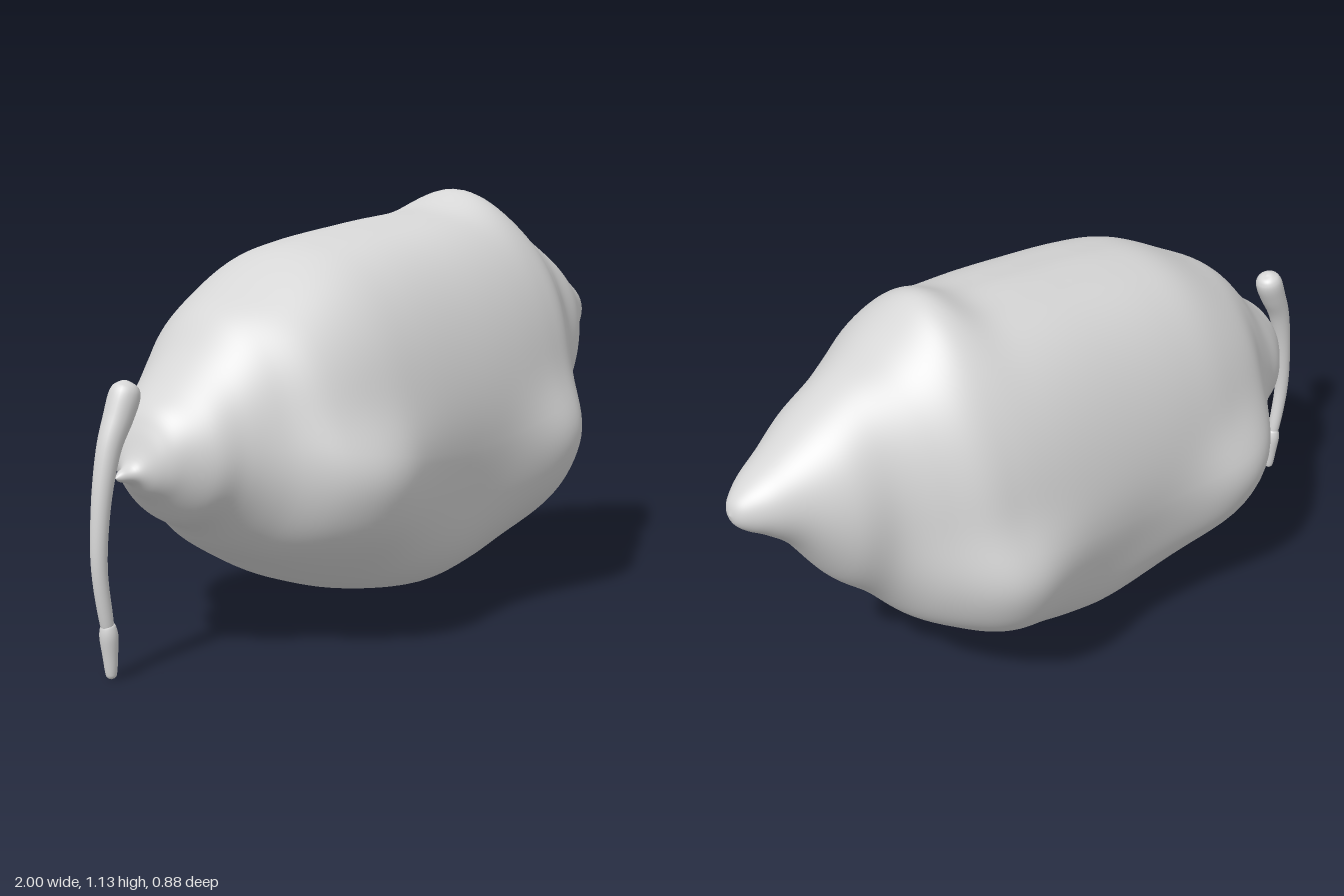
import * as THREE from 'three';

const grey = new THREE.MeshStandardMaterial({ color: 0xd6d6d6 });
grey.name = 'plain grey';

// Closed-ring surface: point(t, angle, target) swept along t, rings wrap around
function loft(name, point, nU, nV) {
  const pos = [], idx = [], p = new THREE.Vector3();
  for (let i = 0; i <= nU; i++) {
    for (let j = 0; j < nV; j++) {
      point(i / nU, (j / nV) * Math.PI * 2, p);
      pos.push(p.x, p.y, p.z);
      if (i === nU) continue;
      const k = (j + 1) % nV;
      const a = i * nV + j, b = a + nV, c = i * nV + k, d = c + nV;
      idx.push(a, c, b, b, c, d);
    }
  }
  const g = new THREE.BufferGeometry();
  g.setAttribute('position', new THREE.Float32BufferAttribute(pos, 3));
  g.setIndex(idx);
  g.computeVertexNormals();
  const mesh = new THREE.Mesh(g, grey);
  mesh.name = name;
  return mesh;
}

const spline = (rows) => new THREE.CatmullRomCurve3(
  rows.map((r) => new THREE.Vector3(...r)), false, 'catmullrom', 0.5);
const bell = (d, s, power = 2) => Math.exp(-Math.pow(Math.abs(d) / s, power));

// Body stations: x, top, bottom, half width
const body = [
  [-0.92, 0.49, 0.49, 0], [-0.905, 0.505, 0.48, 0.013], [-0.87, 0.525, 0.468, 0.035],
  [-0.84, 0.60, 0.44, 0.085], [-0.81, 0.65, 0.415, 0.125], [-0.75, 0.70, 0.36, 0.18],
  [-0.68, 0.77, 0.322, 0.212], [-0.6, 0.86, 0.265, 0.26], [-0.5, 0.92, 0.21, 0.34],
  [-0.35, 1.0, 0.135, 0.382], [-0.2, 1.035, 0.095, 0.398], [0, 1.06, 0.07, 0.405],
  [0.15, 1.075, 0.088, 0.403], [0.27, 1.08, 0.12, 0.395], [0.38, 1.075, 0.155, 0.38],
  [0.47, 1.06, 0.205, 0.355], [0.56, 1.03, 0.26, 0.295], [0.65, 0.995, 0.36, 0.23],
  [0.75, 0.94, 0.455, 0.195], [0.85, 0.875, 0.6, 0.13], [0.92, 0.835, 0.665, 0.09],
  [0.965, 0.805, 0.695, 0.057], [0.99, 0.78, 0.72, 0.03], [1.0, 0.75, 0.75, 0],
];

// Tail stations: x, y, radius
const strand = [
  [-0.872, 0.722, 0], [-0.874, 0.718, 0.018], [-0.878, 0.706, 0.033], [-0.886, 0.684, 0.039],
  [-0.905, 0.64, 0.037], [-0.94, 0.56, 0.03], [-0.967, 0.43, 0.024],
  [-0.976, 0.28, 0.02], [-0.954, 0.13, 0.016], [-0.952, 0.12, 0],
];
const tip = [
  [-0.953, 0.142, 0], [-0.953, 0.139, 0.014], [-0.952, 0.13, 0.02], [-0.95, 0.105, 0.023],
  [-0.947, 0.06, 0.019], [-0.945, 0.02, 0.015], [-0.945, 0.006, 0.011], [-0.945, 0, 0],
];

function createBody() {
  const outline = spline(body.map(([x, top, bottom]) => [x, top, bottom]));
  const width = spline(body.map(([x, , , w]) => [x, w, 0]));
  const o = new THREE.Vector3(), w = new THREE.Vector3();
  return loft('body', (t, a, p) => {
    outline.getPoint(t, o);
    width.getPoint(t, w);
    // Widest line sits low in the middle and is centred at the ends
    const middle = bell(o.x, 0.55, 3);
    const mid = o.z + (o.y - o.z) * (0.5 - 0.08 * middle);
    const c = Math.cos(a), s = Math.sin(a), side = Math.abs(s);
    let y = mid + c * (c > 0 ? o.y - mid : mid - o.z);
    // Sections are fuller than an ellipse in the middle, most of all below
    let half = Math.pow(side, 1 - (c > 0 ? 0.22 : 0.34) * middle) * Math.max(w.y, 0);
    // Four broad limb swellings, with a shallow hollow between each pair
    half += Math.pow(side, 0.6) * 0.074 * bell(Math.abs(o.x) - 0.42, 0.18) * bell(y - 0.38, 0.2, 3);
    half -= side * 0.022 * bell(o.x, 0.2) * bell(y - 0.34, 0.16);
    const z = Math.sign(s) * half;
    if (c > 0) {
      // Crest on the back and the thin ridge leading to it
      y += c * 0.06 * bell(o.x - 0.4, 0.095) * bell(z, 0.21);
      y -= c * 0.01 * bell(o.x, 0.35, 4) * (1 - bell(z, 0.05)) * bell(z, 0.15);
    }
    p.set(o.x, y, z);
  }, 140, 128);
}

function createTube(name, rows) {
  const path = spline(rows.map(([x, y]) => [x, y, 0]));
  const radius = spline(rows.map(([, , r]) => [r, 0, 0]));
  const r = new THREE.Vector3(), tan = new THREE.Vector3();
  return loft(name, (t, a, p) => {
    path.getPoint(t, p);
    path.getTangent(t, tan);
    radius.getPoint(t, r);
    const rad = Math.max(r.x, 0), n = rad * Math.cos(a);
    p.set(p.x - tan.y * n, p.y + tan.x * n, rad * Math.sin(a));
  }, 54, 24);
}

export function createModel() {
  const group = new THREE.Group();
  group.name = 'creature';
  const tail = new THREE.Group();
  tail.name = 'tail';
  tail.add(createTube('tailStrand', strand), createTube('tailTip', tip));
  group.add(createBody(), tail);
  return group;
}
